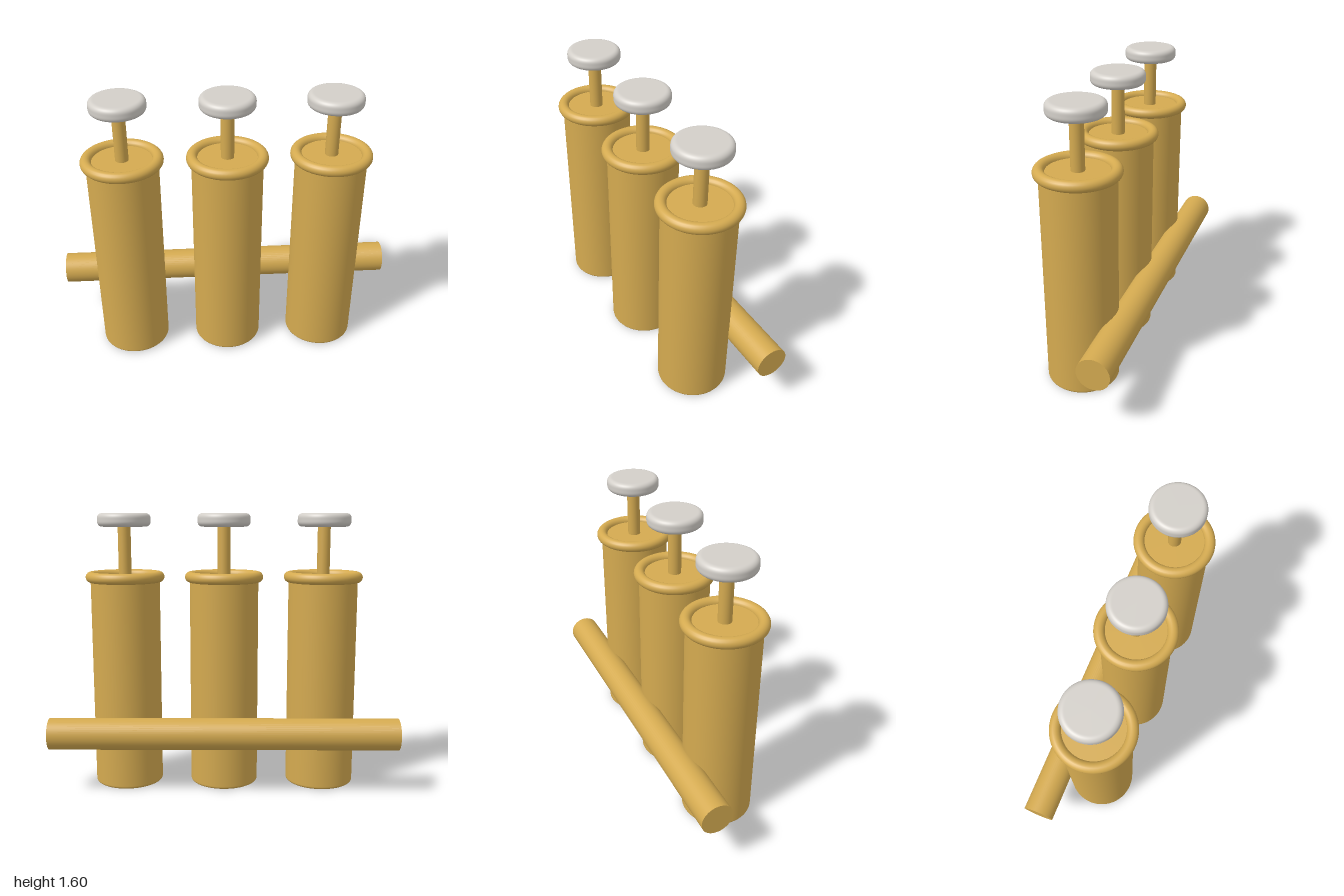
import * as THREE from 'three';

const brass = new THREE.MeshStandardMaterial({ color: 0xd4aa50 });
brass.name = 'brass';
const silver = new THREE.MeshStandardMaterial({ color: 0xd3cfc9 });
silver.name = 'silver';

// Solid disc or drum from y = 0 to h with rounded bottom and top edges
function roundedDrum(radius, h, bottomRound, topRound) {
  const pts = [new THREE.Vector2(0, 0), new THREE.Vector2(radius - bottomRound - 0.005, 0)];
  const corner = (y, r, from) => {
    for (let i = 0; i <= 8; i++) {
      const a = from + (i / 8) * Math.PI / 2;
      pts.push(new THREE.Vector2(radius - r + Math.cos(a) * r, y + Math.sin(a) * r));
    }
  };
  corner(bottomRound, bottomRound, -Math.PI / 2);
  pts.push(new THREE.Vector2(radius, bottomRound + 0.005), new THREE.Vector2(radius, h - topRound - 0.005));
  corner(h - topRound, topRound, 0);
  pts.push(new THREE.Vector2(radius - topRound - 0.005, h), new THREE.Vector2(0, h));
  return new THREE.LatheGeometry(pts, 64);
}

function add(parent, name, geometry, material, x, y, z) {
  const mesh = new THREE.Mesh(geometry, material);
  mesh.name = name;
  mesh.position.set(x, y, z);
  parent.add(mesh);
  return mesh;
}

export function createModel() {
  const model = new THREE.Group();
  model.name = 'pistonValves';

  const casingGeo = roundedDrum(0.2, 1.235, 0.015, 0.01);
  const rimGeo = new THREE.TorusGeometry(0.197, 0.031, 20, 64).rotateX(Math.PI / 2);
  const stemGeo = new THREE.CylinderGeometry(0.037, 0.037, 0.32, 32);
  const buttonGeo = roundedDrum(0.153, 0.077, 0.028, 0.028);

  // Three identical valves
  [['rightValve', -0.577], ['middleValve', 0], ['leftValve', 0.577]].forEach(([name, x]) => {
    const valve = new THREE.Group();
    valve.name = name;
    valve.position.set(x, 0, 0.047);
    add(valve, 'casing', casingGeo, brass, 0, 0, 0);
    add(valve, 'rim', rimGeo, brass, 0, 1.232, 0);
    add(valve, 'stem', stemGeo, brass, 0, 1.38, 0);
    add(valve, 'button', buttonGeo, silver, 0, 1.52, 0);
    model.add(valve);
  });

  // Cross tube joining the valves at the back
  const tubeGeo = new THREE.CylinderGeometry(0.091, 0.091, 2, 48).rotateZ(Math.PI / 2);
  add(model, 'crossTube', tubeGeo, brass, 0, 0.349, -0.184);

  return model;
}
